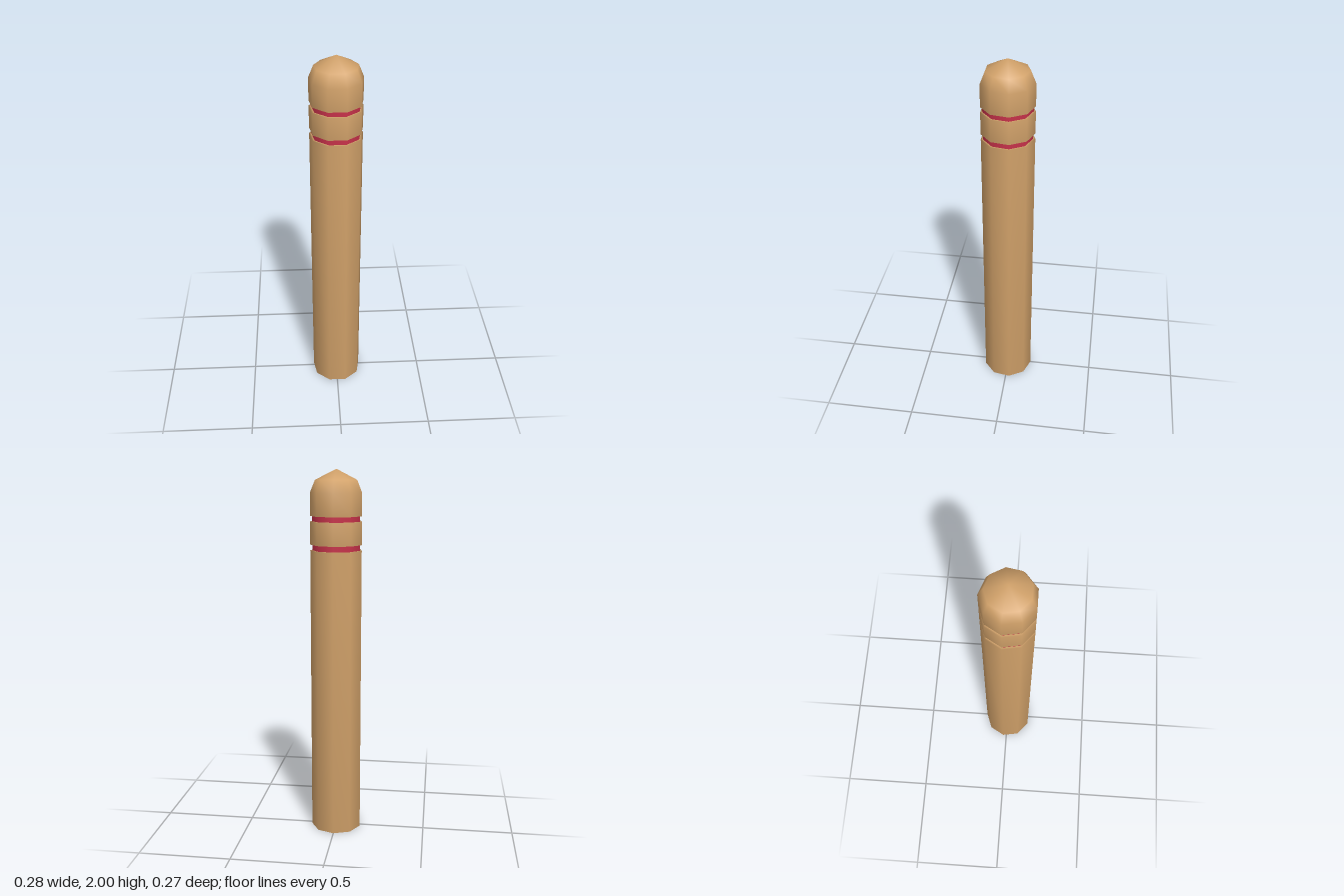
import * as THREE from 'three';

const SIDES = 9;
const R = 0.14;        // post radius
const GROOVE = 0.129;  // radius inside the grooves

// Nine-sided smooth turned part, profile listed from bottom to top
function turned(name, profile, material) {
  const points = profile.map(([r, y]) => new THREE.Vector2(r, y));
  const geometry = new THREE.LatheGeometry(points, SIDES, Math.PI);
  // Points on the axis face straight up or down
  const { position, normal } = geometry.attributes;
  for (let i = 0; i < position.count; i++) {
    if (Math.hypot(position.getX(i), position.getZ(i)) < 1e-6) {
      normal.setXYZ(i, 0, position.getY(i) > 1 ? 1 : -1, 0);
    }
  }
  const mesh = new THREE.Mesh(geometry, material);
  mesh.name = name;
  return mesh;
}

export function createModel() {
  const wood = new THREE.MeshStandardMaterial({ color: 0xd2a26a });
  wood.name = 'wood';
  const red = new THREE.MeshStandardMaterial({ color: 0xc8324a });
  red.name = 'red paint';

  const post = new THREE.Group();
  post.name = 'post';
  post.add(
    turned('shaft', [[0, 0], [R, 0], [R, 1.578], [GROOVE, 1.578]], wood),
    turned('lowerGroove', [[GROOVE, 1.578], [GROOVE, 1.608]], red),
    turned('collar', [[GROOVE, 1.608], [R, 1.608], [R, 1.73], [GROOVE, 1.73]], wood),
    turned('upperGroove', [[GROOVE, 1.73], [GROOVE, 1.758]], red),
    turned('domedCap', [[GROOVE, 1.758], [R, 1.758], [R, 1.878], [0.113, 1.944], [0, 2]], wood),
  );
  // An odd number of sides is uneven front to back, so recentre it
  post.position.z = (R * (1 - Math.cos(Math.PI / SIDES))) / 2;

  const model = new THREE.Group();
  model.name = 'bollard';
  model.add(post);
  return model;
}
